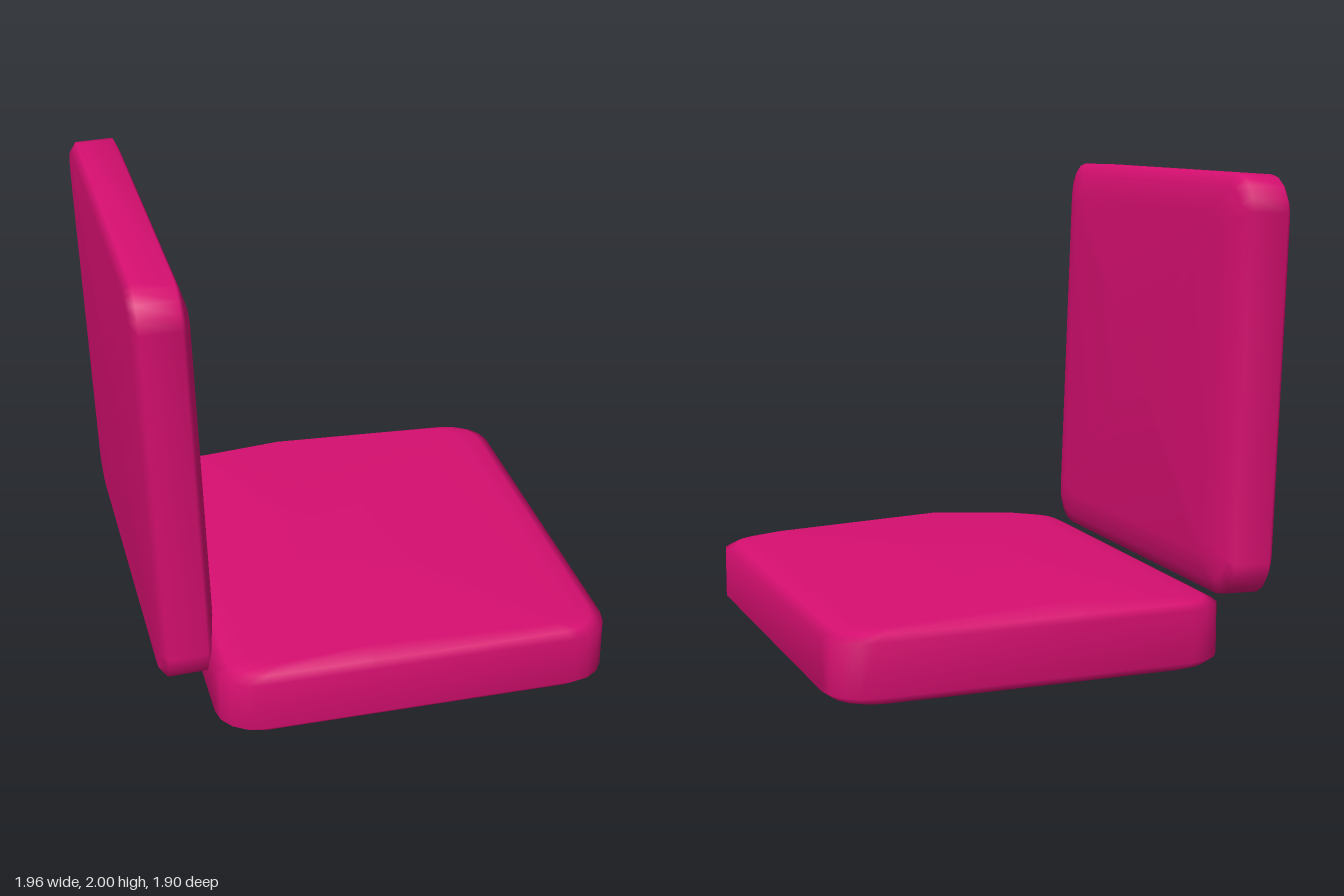
import * as THREE from 'three';

// Closed counter-clockwise rounded rectangle in x/z, with an extra point on
// each long side at x = ridge so the top can be crowned there.
function outline(hx, hz, r, ridge, segments = 4) {
  const pts = [];
  const corner = (sx, sz, start) => {
    for (let i = 0; i <= segments; i++) {
      const a = start + (i / segments) * Math.PI / 2;
      pts.push([sx * (hx - r) + r * Math.cos(a), sz * (hz - r) - r * Math.sin(a)]);
    }
  };
  corner(1, -1, 0);
  pts.push([ridge, -hz]);
  corner(-1, -1, Math.PI / 2);
  corner(-1, 1, Math.PI);
  pts.push([ridge, hz]);
  corner(1, 1, Math.PI * 1.5);
  return pts;
}

// Cushion lofted through rings of [height, inset in x, inset in z].
// lift(x) raises the last ring and the top centre.
function cushionGeometry({ hx, hz, r, rings, ridge = 0, lift = () => 0 }) {
  const pos = [], index = [];
  let n = 0;
  rings.forEach(([y, ix, iz], k) => {
    const radius = r - Math.min(ix, iz) * 0.5;
    const pts = outline(hx - ix, hz - iz, radius, ridge);
    n = pts.length;
    const top = k === rings.length - 1;
    pts.forEach(([x, z]) => pos.push(x, y + (top ? lift(x) : 0), z));
  });
  const last = rings.length - 1;
  const bottomCentre = pos.length / 3, topCentre = bottomCentre + 1;
  pos.push(ridge, rings[0][0], 0, ridge, rings[last][0] + lift(ridge), 0);
  for (let i = 0; i < n; i++) {
    const j = (i + 1) % n;
    for (let k = 0; k < last; k++) {
      const a = k * n + i, b = k * n + j;
      index.push(a, b, b + n, a, b + n, a + n);
    }
    index.push(bottomCentre, j, i, topCentre, last * n + i, last * n + j);
  }
  const geo = new THREE.BufferGeometry();
  geo.setAttribute('position', new THREE.Float32BufferAttribute(pos, 3));
  geo.setIndex(index);
  geo.computeVertexNormals();
  return geo;
}

export function createModel() {
  const group = new THREE.Group();
  const fabric = new THREE.MeshStandardMaterial({ color: 0xd60f70 });

  // Seat cushion, crowned along a line nearer the backrest
  const ridge = -0.2, edge = 0.69, crown = 0.035;
  const seat = new THREE.Mesh(cushionGeometry({
    hx: 0.84, hz: 0.95, r: 0.17, ridge,
    rings: [[0, 0.08, 0.05], [0.01, 0.04, 0.03], [0.04, 0, 0], [0.255, 0, 0],
      [0.28, 0.05, 0.03], [0.295, 0.15, 0.07]],
    lift: x => crown * Math.max(0, x < ridge ? (x + edge) / (ridge + edge) : (edge - x) / (edge - ridge)),
  }), fabric);
  seat.name = 'seatCushion';
  seat.position.x = 0.14;
  group.add(seat);

  // Back cushion, stood on edge and leaning back slightly
  const back = new THREE.Mesh(cushionGeometry({
    hx: 0.868, hz: 0.9, r: 0.15,
    rings: [[0, 0.035, 0.035], [0.03, 0, 0], [0.19, 0, 0], [0.212, 0.05, 0.05], [0.245, 0.165, 0.18]],
  }), fabric);
  back.name = 'backCushion';
  back.rotation.z = -Math.PI / 2 + 0.035;
  back.position.set(-0.953, 1.123, 0);
  group.add(back);

  return group;
}
